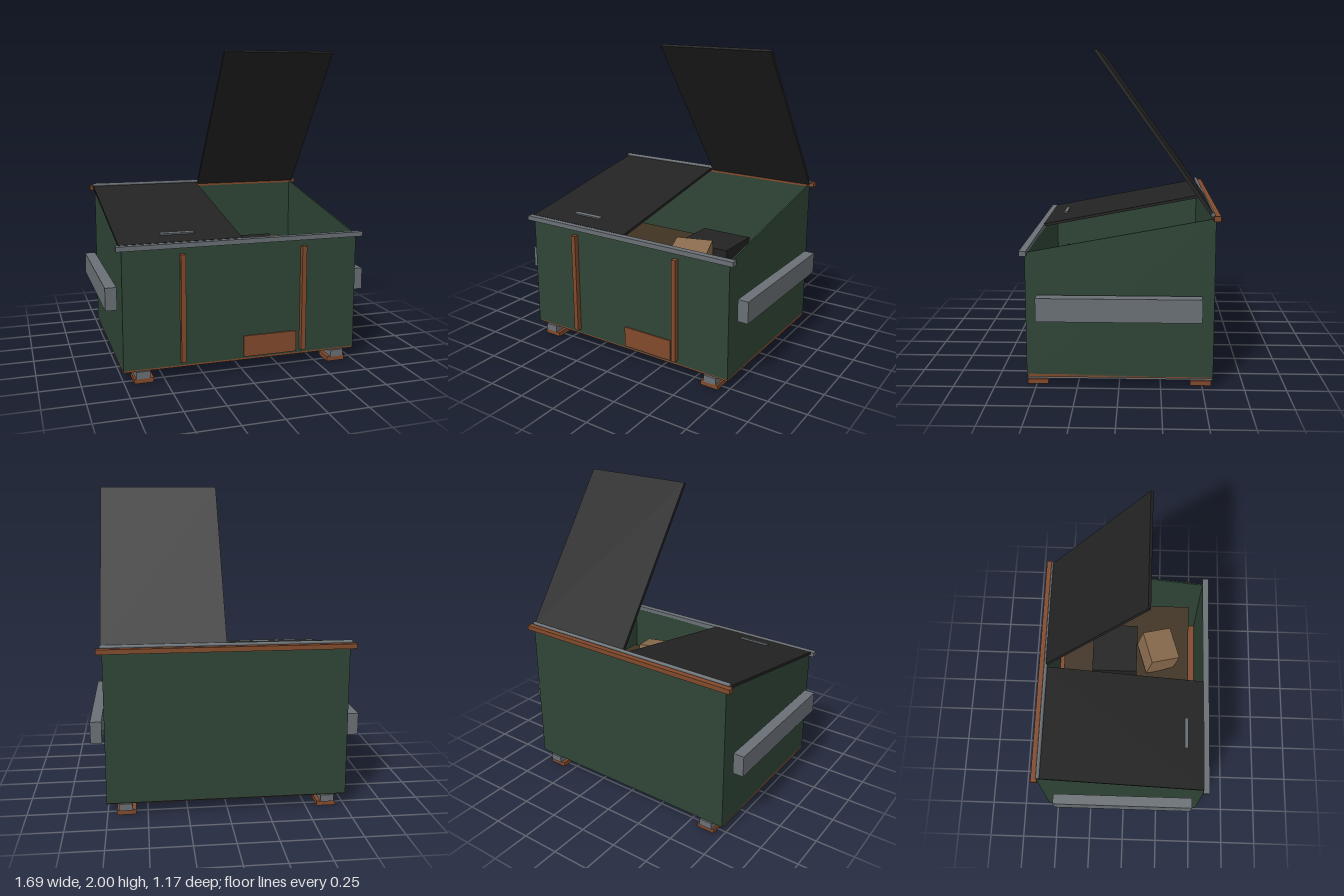
import * as THREE from 'three';

const mat = (name, color) => {
  const m = new THREE.MeshStandardMaterial({ color });
  m.name = name;
  return m;
};

export function createModel() {
  const green = mat('green paint', 0x2f4536);
  const rust = mat('rust', 0x824a2c);
  const steel = mat('grey steel', 0x6a7075);
  const black = mat('black plastic', 0x232323);
  const refuse = mat('dark brown refuse', 0x403322);
  const card = mat('cardboard', 0x8a6c4e);

  const model = new THREE.Group();
  model.name = 'dumpster';

  const add = (name, geometry, material) => {
    const mesh = new THREE.Mesh(geometry, material);
    mesh.name = name;
    model.add(mesh);
    return mesh;
  };
  // Box given by its limits on each axis
  const box = (name, material, [x0, x1], [y0, y1], [z0, z1]) => {
    const mesh = add(name, new THREE.BoxGeometry(x1 - x0, y1 - y0, z1 - z0), material);
    mesh.position.set((x0 + x1) / 2, (y0 + y1) / 2, (z0 + z1) / 2);
    return mesh;
  };
  // Flat panel between a low and a high edge in the side plane, each [z, y]
  const panel = (name, material, [x0, x1], [za, ya], [zb, yb], thickness) => {
    const dz = zb - za, dy = yb - ya;
    const mesh = add(name, new THREE.BoxGeometry(x1 - x0, thickness, Math.hypot(dz, dy)), material);
    mesh.position.set((x0 + x1) / 2, (ya + yb) / 2, (za + zb) / 2);
    mesh.rotation.x = Math.atan2(dy, -dz);
    return mesh;
  };

  // Container shell
  box('basePlate', rust, [-0.755, 0.755], [0.072, 0.09], [-0.55, 0.545]);
  box('frontWall', green, [-0.755, 0.755], [0.085, 0.83], [0.535, 0.55]);
  box('rearWall', green, [-0.755, 0.755], [0.08, 1.04], [-0.56, -0.547]);

  const side = new THREE.Shape([
    new THREE.Vector2(-0.545, 0.08),
    new THREE.Vector2(0.55, 0.08),
    new THREE.Vector2(0.55, 1.04),
    new THREE.Vector2(-0.545, 0.835),
  ]);
  const wallThickness = 0.01;
  for (const s of [1, -1]) {
    const geo = new THREE.ExtrudeGeometry(side, { depth: wallThickness, bevelEnabled: false });
    geo.rotateY(Math.PI / 2);
    const wall = add(s > 0 ? 'leftWall' : 'rightWall', geo, green);
    wall.position.x = s > 0 ? 0.755 - wallThickness : -0.755;
  }

  // Rims and hinge rod
  box('frontRim', steel, [-0.79, 0.79], [0.82, 0.85], [0.535, 0.577]);
  box('rearRim', rust, [-0.79, 0.79], [1.03, 1.06], [-0.585, -0.545]);
  const rod = add('hingeRod', new THREE.CylinderGeometry(0.012, 0.012, 1.54, 8), steel);
  rod.rotation.z = Math.PI / 2;
  rod.position.set(0, 1.066, -0.541);

  // Parts repeated on both sides
  for (const s of [1, -1]) {
    const span = (a, b) => (s > 0 ? [a, b] : [-b, -a]);
    box('liftPocket', steel, span(0.775, 0.845), [0.445, 0.585], [-0.485, 0.48]);
    box('runner', steel, span(0.595, 0.68), [0.03, 0.074], [-0.565, 0.56]);
    box('frontFoot', rust, span(0.572, 0.692), [0, 0.03], [0.43, 0.555]);
    box('rearFoot', rust, span(0.572, 0.692), [0, 0.03], [-0.555, -0.43]);
    box('frontRib', rust, span(0.375, 0.405), [0.11, 0.78], [0.55, 0.583]);
  }
  box('rustPatch', rust, [0, 0.35], [0.095, 0.23], [0.55, 0.558]);

  // Lids: one closed, one swung open
  panel('closedLid', black, [-0.768, -0.008], [0.54, 0.843], [-0.545, 1.052], 0.018);
  const handle = panel('lidHandle', steel, [-0.495, -0.285], [0.432, 0.873], [0.406, 0.878], 0.014);
  handle.position.y += 0.003;
  panel('openLid', black, [0.005, 0.763], [0.128, 1.99], [-0.545, 1.052], 0.02);

  // Contents
  box('refusePile', refuse, [-0.7, 0.7], [0.09, 0.55], [-0.47, 0.455]);
  box('blackBin', black, [0.11, 0.466], [0.52, 0.695], [-0.25, 0.07]);
  const carton = add('cardboardBox', new THREE.BoxGeometry(0.24, 0.2, 0.21), card);
  carton.position.set(0.295, 0.645, 0.225);
  carton.rotation.set(0.2, 0.3, 0, 'YXZ');

  return model;
}
